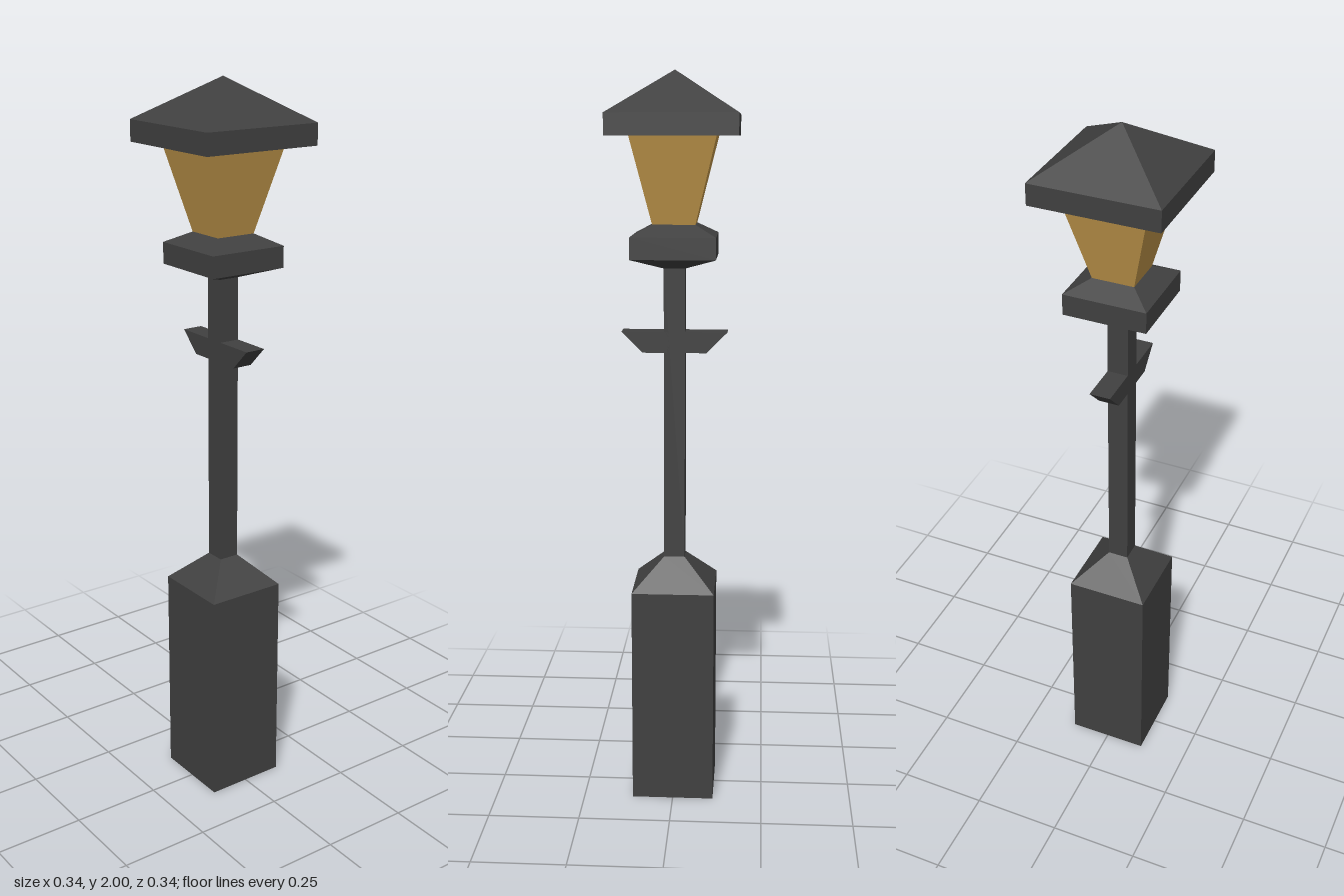
import * as THREE from 'three';

const iron = new THREE.MeshStandardMaterial({ color: 0x404040 });
iron.name = 'dark iron';
const amber = new THREE.MeshStandardMaterial({ color: 0xc0964a });
amber.name = 'amber glass';

// Faceted solid of square section; profile is a list of [half width, y] from bottom to top
function squareTurned(name, profile, material) {
  const points = profile.map(([half, y]) => new THREE.Vector2(half * Math.SQRT2, y));
  const geometry = new THREE.LatheGeometry(points, 4, Math.PI / 4).toNonIndexed();
  geometry.computeVertexNormals();
  const mesh = new THREE.Mesh(geometry, material);
  mesh.name = name;
  return mesh;
}

export function createModel() {
  const group = new THREE.Group();
  group.name = 'streetLamp';
  const poleHalf = 0.0285;

  // Pedestal with tapered shoulder
  group.add(squareTurned('pedestal', [[0, 0], [0.113, 0], [0.113, 0.604], [poleHalf, 0.687]], iron));

  // Slim square pole
  group.add(squareTurned('pole', [[poleHalf, 0.687], [poleHalf, 1.487]], iron));

  // Collar carrying the lantern
  group.add(squareTurned('lanternCollar',
    [[poleHalf, 1.487], [0.113, 1.516], [0.113, 1.574], [0.057, 1.604], [0, 1.604]], iron));

  // Glass flaring upwards
  group.add(squareTurned('lanternGlass', [[0.057, 1.604], [0.113, 1.832]], amber));

  // Roof slab with pyramid top
  group.add(squareTurned('roof', [[0, 1.832], [0.171, 1.832], [0.171, 1.889], [0, 2]], iron));

  // Ladder rest: bar with slanted ends
  const bar = new THREE.Shape([
    new THREE.Vector2(-0.086, 1.26), new THREE.Vector2(0.086, 1.26),
    new THREE.Vector2(0.143, 1.317), new THREE.Vector2(-0.143, 1.317),
  ]);
  const barGeometry = new THREE.ExtrudeGeometry(bar, { depth: poleHalf * 2, bevelEnabled: false });
  barGeometry.translate(0, 0, -poleHalf);
  const crossbar = new THREE.Mesh(barGeometry, iron);
  crossbar.name = 'crossbar';
  group.add(crossbar);

  return group;
}
